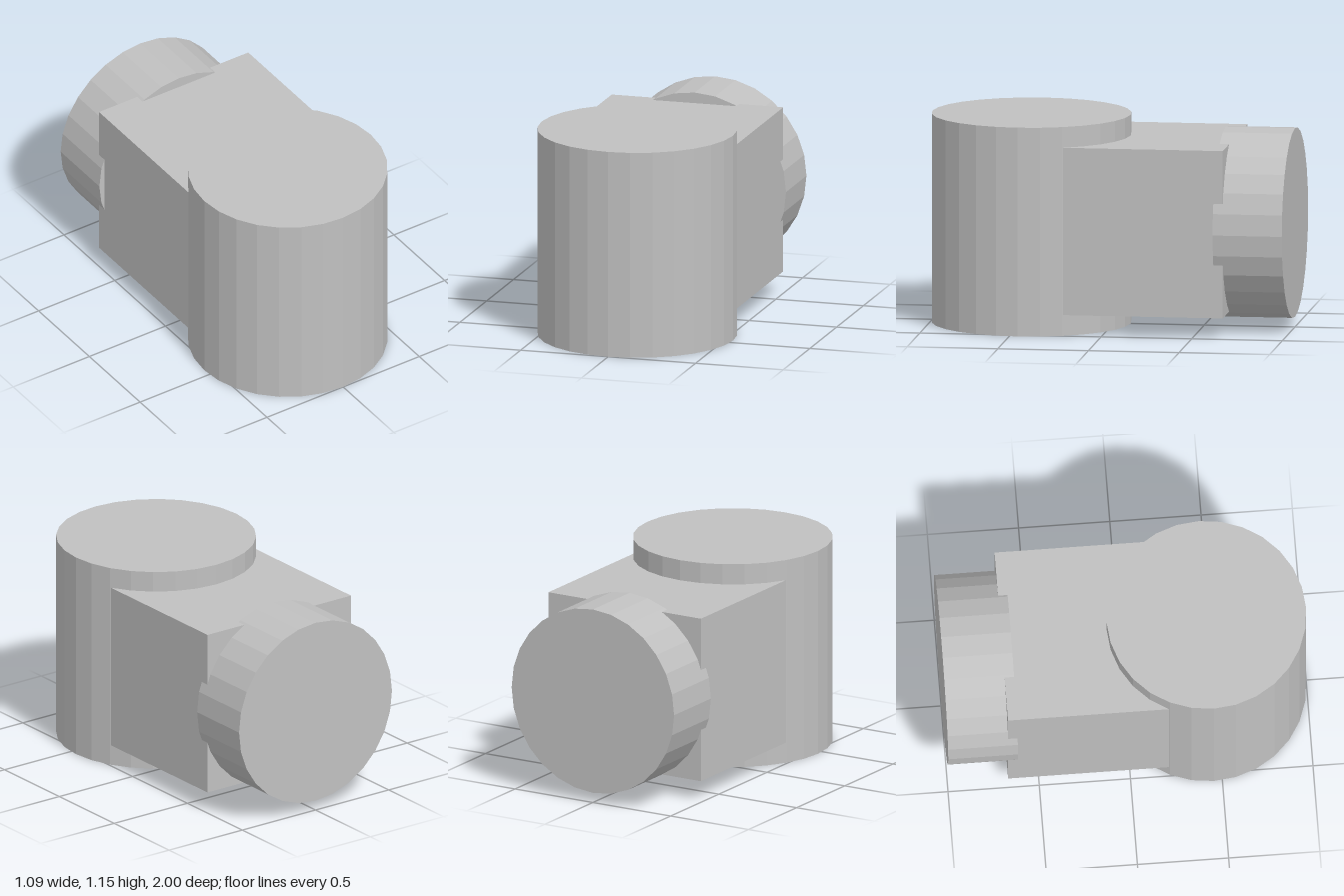
import * as THREE from 'three';

const SIDES = 28;
const MID_Y = 0.577;

export function createModel() {
  const grey = new THREE.MeshStandardMaterial({ color: 0xc0c0c0, flatShading: true });
  grey.name = 'light grey';

  const model = new THREE.Group();
  model.name = 'cylinderBlock';

  const add = (name, geometry, y, z) => {
    const mesh = new THREE.Mesh(geometry, grey);
    mesh.name = name;
    mesh.position.set(0, y, z);
    model.add(mesh);
    return mesh;
  };

  // upright drum at the front
  add('frontDrum', new THREE.CylinderGeometry(0.547, 0.547, 1.154, SIDES), MID_Y, 0.453);

  // square body, running forward into the drum
  add('body', new THREE.BoxGeometry(0.98, 0.925, 0.97), MID_Y, -0.185);

  // short drum lying along z at the back
  const rear = add('rearDrum', new THREE.CylinderGeometry(0.522, 0.522, 0.382, SIDES), MID_Y, -0.809);
  rear.rotation.x = Math.PI / 2;

  return model;
}
